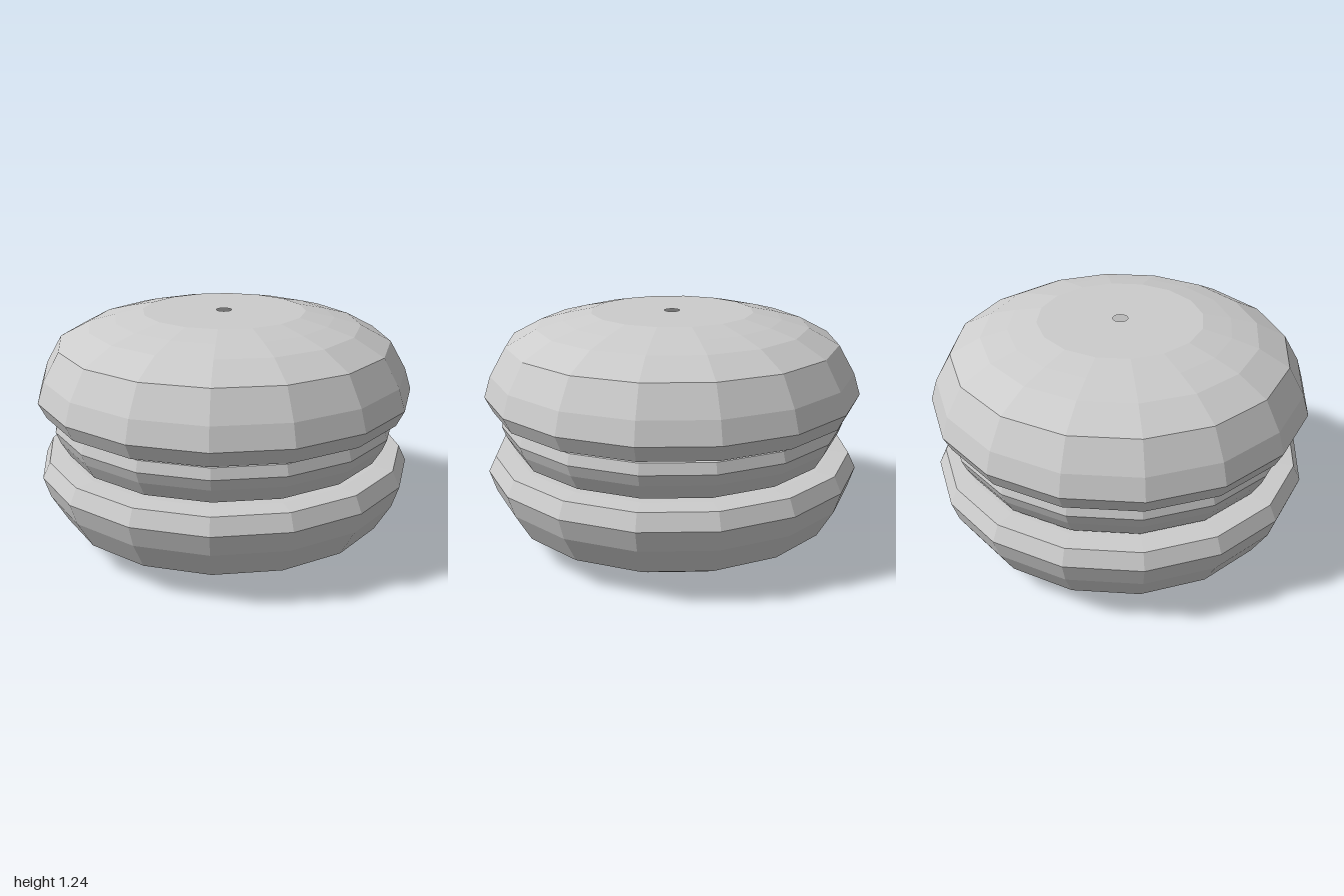
import * as THREE from 'three';

const SIDES = 16;
const HEIGHT = 1.24;
const HOLE = 0.04;

// Revolve a bottom-to-top [radius, height] profile into a faceted solid
function revolve(name, profile, material) {
  const points = profile.map(([r, y]) => new THREE.Vector2(r, y));
  const mesh = new THREE.Mesh(new THREE.LatheGeometry(points, SIDES), material);
  mesh.name = name;
  return mesh;
}

export function createModel() {
  const group = new THREE.Group();
  group.name = 'sandwichBiscuit';
  const material = new THREE.MeshStandardMaterial({
    color: 0xcccccc, flatShading: true, side: THREE.DoubleSide,
  });

  // Domed shell, with a small opening on the axis
  const shell = [
    [HOLE, 0], [0.43, 0], [0.58, 0.032], [0.72, 0.07], [0.88, 0.155],
    [0.965, 0.303], [1, 0.415], [0.96, 0.497], [0.86, 0.504], [HOLE, 0.504],
  ];
  group.add(revolve('lowerShell', shell, material));

  // The upper shell is the lower one mirrored
  const upper = shell.map(([r, y]) => [r, HEIGHT - y]).reverse();
  group.add(revolve('upperShell', upper, material));

  // Filling floats between the shells with a thin gap on each side
  group.add(revolve('filling', [
    [HOLE, 0.519], [0.85, 0.519], [0.897, 0.6], [0.92, 0.66],
    [0.903, 0.715], [0.82, 0.728], [HOLE, 0.728],
  ], material));

  return group;
}
